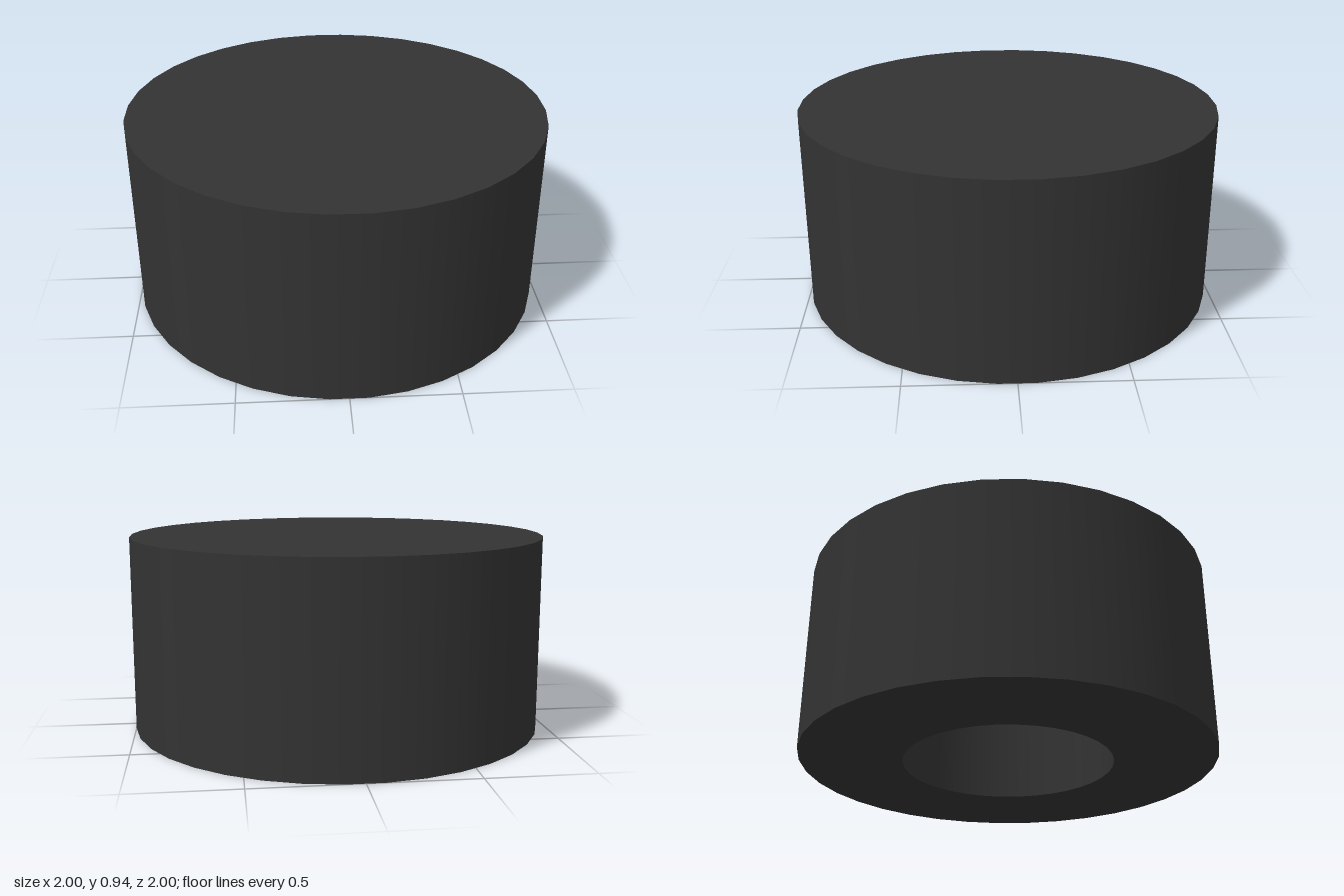
import * as THREE from 'three';

const SIDES = 36;
const HEIGHT = 0.94;
const RADIUS = 1 / Math.cos(Math.PI / SIDES); // flats touch x, z = +-1
const BORE_RADIUS = 0.51;
const BORE_DEPTH = 0.77;

const material = new THREE.MeshStandardMaterial({ color: 0x333333 });

// Turned surface through the given [radius, y] points, with flats on the axes
function turned(name, points) {
  const profile = points.map(([r, y]) => new THREE.Vector2(r, y));
  const geometry = new THREE.LatheGeometry(profile, SIDES, Math.PI / SIDES);
  const mesh = new THREE.Mesh(geometry, material);
  mesh.name = name;
  return mesh;
}

export function createModel() {
  const group = new THREE.Group();
  group.name = 'cylindricalFoot';

  // Separate surfaces keep the rims sharp and the walls smooth
  group.add(
    turned('outerWall', [[RADIUS, 0], [RADIUS, HEIGHT]]),
    turned('topFace', [[RADIUS, HEIGHT], [0, HEIGHT]]),
    turned('bottomRing', [[BORE_RADIUS, 0], [RADIUS, 0]]),
    // Blind hole open at the bottom
    turned('boreWall', [[BORE_RADIUS, BORE_DEPTH], [BORE_RADIUS, 0]]),
    turned('boreEnd', [[0, BORE_DEPTH], [BORE_RADIUS, BORE_DEPTH]])
  );
  return group;
}
